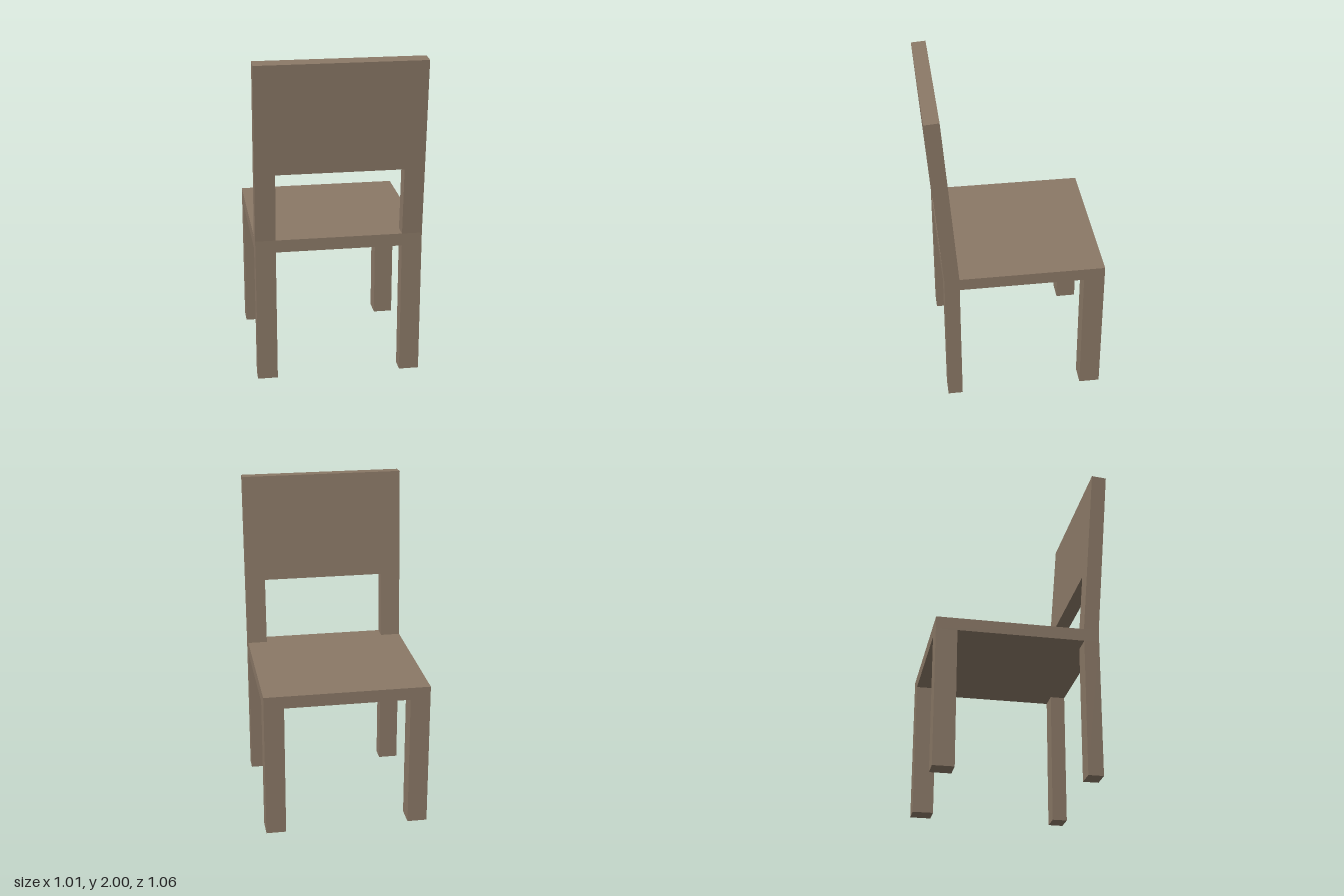
import * as THREE from 'three';

const wood = new THREE.MeshStandardMaterial({ color: 0x8a7866, flatShading: true });

const HALF_W = 0.505, INNER = 0.383;   // outer and inner x of legs and posts
const FRONT = -0.53, BACK = 0.448;     // seat edges; the backrest stands at +z
const SEAT_LOW = 0.835, SEAT_TOP = 0.912, TOP = 2;
const POST_FRONT = 0.357, LEAN = 0.076, PANEL_LOW = 1.33;

// Box given by its limits on each axis
function block(name, x0, x1, y0, y1, z0, z1) {
  const geo = new THREE.BoxGeometry(x1 - x0, y1 - y0, z1 - z0);
  geo.translate((x0 + x1) / 2, (y0 + y1) / 2, (z0 + z1) / 2);
  const mesh = new THREE.Mesh(geo, wood);
  mesh.name = name;
  return mesh;
}

// Two posts joined by a wide panel, cut as one arch and leaned backwards
function backrest() {
  const outline = [
    [-HALF_W, SEAT_TOP], [-INNER, SEAT_TOP], [-INNER, PANEL_LOW], [INNER, PANEL_LOW],
    [INNER, SEAT_TOP], [HALF_W, SEAT_TOP], [HALF_W, TOP], [-HALF_W, TOP],
  ].map(([x, y]) => new THREE.Vector2(x, y));
  const depth = BACK - POST_FRONT;
  const geo = new THREE.ExtrudeGeometry(new THREE.Shape(outline), { depth, bevelEnabled: false });
  const pos = geo.attributes.position;
  for (let i = 0; i < pos.count; i++) {
    const y = pos.getY(i), z = pos.getZ(i);
    // the top edge is square to the leaning faces
    const ny = y > TOP - 0.01 ? y - z * LEAN : y;
    pos.setXYZ(i, pos.getX(i), ny, POST_FRONT + z + (ny - SEAT_TOP) * LEAN);
  }
  geo.computeVertexNormals();
  const mesh = new THREE.Mesh(geo, wood);
  mesh.name = 'backrest';
  return mesh;
}

export function createModel() {
  const chair = new THREE.Group();
  chair.name = 'chair';
  chair.add(block('seat', -HALF_W, HALF_W, SEAT_LOW, SEAT_TOP, FRONT, BACK), backrest());

  // Legs, mirrored left and right
  for (const [side, x0, x1] of [['Left', INNER, HALF_W], ['Right', -HALF_W, -INNER]]) {
    chair.add(
      block('frontLeg' + side, x0, x1, 0, SEAT_LOW, FRONT, -0.403),
      block('backLeg' + side, x0, x1, 0, SEAT_LOW, POST_FRONT, BACK),
    );
  }
  return chair;
}
